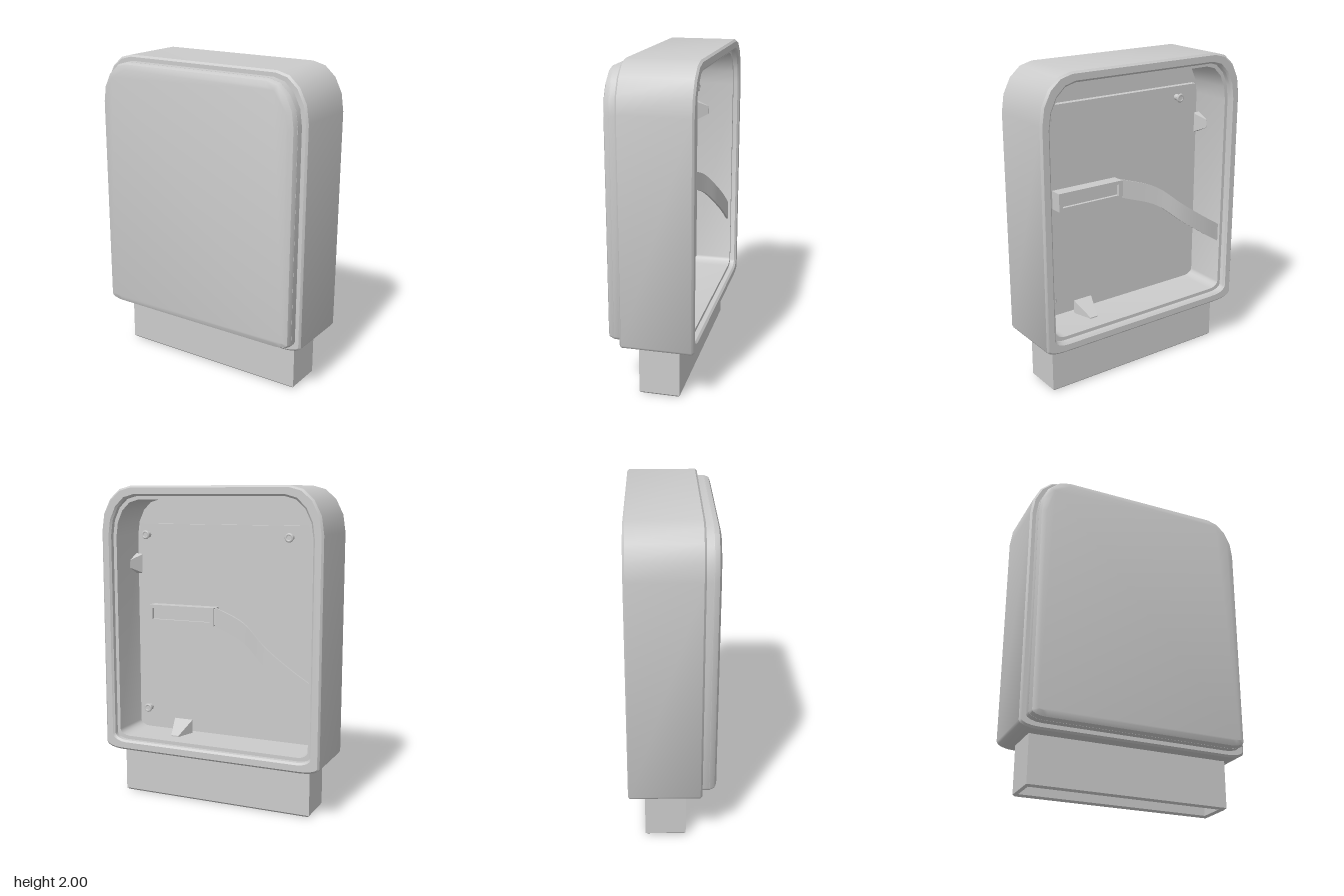
import * as THREE from 'three';
import { toCreasedNormals } from 'three/addons/utils/BufferGeometryUtils.js';

const material = new THREE.MeshStandardMaterial({ color: 0xcccccc, side: THREE.DoubleSide });

// Housing outline: wide rounded top corners, tight flattened bottom corners
function trace(path, inset) {
  const w = 0.73 - inset, top = 2 - inset, bottom = 0.307 + inset;
  const rx = 0.21 - inset * 0.6, ry = 0.28 - inset * 0.6;
  const bx = 0.12 - inset * 0.6, by = 0.04;
  path.moveTo(-w + bx, bottom);
  path.lineTo(w - bx, bottom);
  path.absellipse(w - bx, bottom + by, bx, by, -Math.PI / 2, 0, false);
  path.lineTo(w, top - ry);
  path.absellipse(w - rx, top - ry, rx, ry, 0, Math.PI / 2, false);
  path.lineTo(-w + rx, top);
  path.absellipse(-w + rx, top - ry, rx, ry, Math.PI / 2, Math.PI, false);
  path.lineTo(-w, bottom + by);
  path.absellipse(-w + bx, bottom + by, bx, by, Math.PI, Math.PI * 1.5, false);
  return path;
}

function rect(path, w, h) {
  path.moveTo(-w / 2, -h / 2);
  path.lineTo(w / 2, -h / 2);
  path.lineTo(w / 2, h / 2);
  path.lineTo(-w / 2, h / 2);
  path.closePath();
  return path;
}

// Extrude a shape between two z planes, the bevel staying inside them
function extrude(shape, z0, z1, bevel = 0, bevelSegments = 1) {
  const g = new THREE.ExtrudeGeometry(shape, {
    depth: z1 - z0 - 2 * bevel, curveSegments: 2, bevelEnabled: bevel > 0,
    bevelThickness: bevel, bevelSize: bevel, bevelOffset: -bevel, bevelSegments,
  });
  g.translate(0, 0, z0 + bevel);
  return toCreasedNormals(g, 0.6);
}

function ring(outer, inner, z0, z1, bevel) {
  const shape = trace(new THREE.Shape(), outer);
  shape.holes.push(trace(new THREE.Path(), inner));
  return extrude(shape, z0, z1, bevel);
}

// Snap hook standing on y = 0: tall at the board, tapering to a narrow tip at -z
function hook(height, length) {
  const g = new THREE.BoxGeometry(0.13, height, length).toNonIndexed();
  g.translate(0, height / 2, -length / 2);
  const p = g.attributes.position;
  for (let i = 0; i < p.count; i++) {
    if (p.getZ(i) < -length / 2) p.setXYZ(i, p.getX(i) * 0.4, p.getY(i) * 0.1, p.getZ(i));
  }
  g.computeVertexNormals();
  return g;
}

export function createModel() {
  const model = new THREE.Group();
  const add = (name, geometry, x = 0, y = 0, z = 0) => {
    const mesh = new THREE.Mesh(geometry, material);
    mesh.name = name;
    mesh.position.set(x, y, z);
    model.add(mesh);
    return mesh;
  };

  // Open-backed housing with a stepped inner lip and a thin inner panel
  add('housing', ring(0, 0.063, -0.265, 0.18, 0.012));
  add('innerLiner', ring(0.063, 0.085, -0.225, 0.055));
  add('innerPanel', extrude(trace(new THREE.Shape(), 0.08), 0.05, 0.06));

  // Raised front cover with a two-step chamfered edge
  add('frontCover', extrude(trace(new THREE.Shape(), 0.036), 0.178, 0.265, 0.042, 2));
  add('coverSkirt', ring(0.036, 0.08, 0.17, 0.225));

  // Hollow thin-walled base duct, open at the bottom
  const duct = rect(new THREE.Shape(), 1.28, 0.25);
  duct.holes.push(rect(new THREE.Path(), 1.23, 0.2));
  const ductGeometry = extrude(duct, 0, 0.33, 0.012);
  ductGeometry.rotateX(-Math.PI / 2);
  add('baseDuct', ductGeometry, 0, 0, -0.04);

  // Circuit board and its screws
  add('board', new THREE.BoxGeometry(1.2, 1.32, 0.04), 0, 1.1, 0.03);
  for (const [x, y] of [[0.545, 1.69], [0.545, 0.54], [-0.44, 1.69]]) {
    const post = new THREE.CylinderGeometry(0.02, 0.02, 0.05, 12).rotateX(Math.PI / 2);
    add('screw', post, x, y, -0.01);
    add('screwHead', new THREE.TorusGeometry(0.02, 0.009, 6, 16), x, y, -0.03);
  }

  // Snap hooks on the side walls and the floor
  for (const side of [-1, 1]) {
    add('sideHook', hook(0.06, 0.08), side * 0.648, 1.5, 0.02).rotation.z = side * Math.PI / 2;
  }
  add('bottomHook', hook(0.09, 0.13), 0.3, 0.39, 0.01);

  // Slotted connector
  const socket = rect(new THREE.Shape(), 0.46, 0.115);
  socket.holes.push(rect(new THREE.Path(), 0.41, 0.07));
  add('connectorFrame', extrude(socket, -0.07, 0.02), 0.275, 1.185, 0);
  add('connectorFloor', new THREE.BoxGeometry(0.42, 0.08, 0.04), 0.275, 1.185, -0.03);
  add('cablePlug', new THREE.BoxGeometry(0.02, 0.1, 0.04), 0.04, 1.185, -0.04);

  // Flat ribbon cable sweeping down towards the rear edge
  const path = new THREE.CatmullRomCurve3([
    new THREE.Vector3(0.04, 1.185, -0.05),
    new THREE.Vector3(-0.18, 1.11, -0.12),
    new THREE.Vector3(-0.348, 0.98, -0.18),
    new THREE.Vector3(-0.514, 0.866, -0.2),
    new THREE.Vector3(-0.65, 0.78, -0.2),
  ]);
  const ribbon = new THREE.BoxGeometry(1, 0.12, 0.014, 32, 1, 1);
  const p = ribbon.attributes.position;
  for (let i = 0; i < p.count; i++) {
    const c = path.getPoint(THREE.MathUtils.clamp(0.5 - p.getX(i), 0, 1));
    p.setXYZ(i, c.x, c.y + p.getY(i), c.z + p.getZ(i));
  }
  add('ribbonCable', toCreasedNormals(ribbon, 0.5));

  return model;
}
